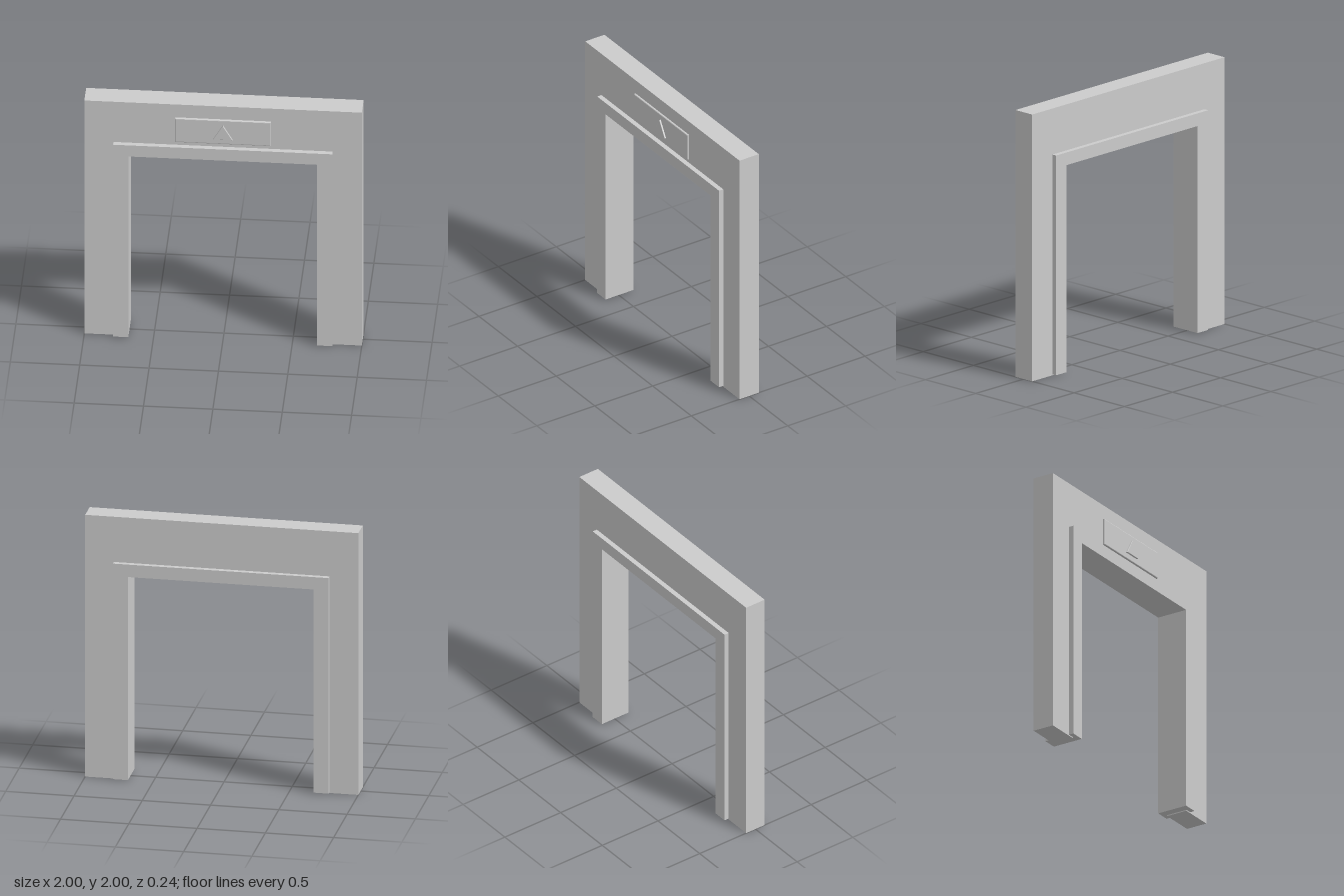
import * as THREE from 'three';

const material = new THREE.MeshStandardMaterial({ color: 0xcccccc });

const polygon = (points) => new THREE.Shape(points.map(([x, y]) => new THREE.Vector2(x, y)));

// Upside-down U outline: outer half width and top, inner half width and top
const arch = (outerX, outerY, innerX, innerY, bottom) => polygon([
  [-outerX, bottom], [-innerX, bottom], [-innerX, innerY], [innerX, innerY],
  [innerX, bottom], [outerX, bottom], [outerX, outerY], [-outerX, outerY],
]);

// Extrude a shape from z0 to z1, with an optional softened edge kept inside the outline
function slab(name, shape, z0, z1, bevel = 0) {
  const geometry = new THREE.ExtrudeGeometry(shape, {
    depth: z1 - z0 - 2 * bevel,
    bevelEnabled: bevel > 0,
    bevelThickness: bevel,
    bevelSize: bevel,
    bevelOffset: -bevel,
    bevelSegments: 3,
  });
  geometry.translate(0, 0, z0 + bevel);
  const mesh = new THREE.Mesh(geometry, material);
  mesh.name = name;
  return mesh;
}

export function createModel() {
  const model = new THREE.Group();
  model.name = 'doorway';

  // Wall surround, and the thicker door frame that wraps its inner edge
  model.add(slab('wall', arch(1, 2, 0.74, 1.61, 0), -0.083, 0.083));
  model.add(slab('doorFrame', arch(0.79, 1.655, 0.68, 1.56, 0.008), -0.12, 0.12));

  // Sign plate above the opening with a raised triangle
  const sign = new THREE.Group();
  sign.name = 'sign';
  const plate = polygon([[-0.347, 1.685], [0.347, 1.685], [0.347, 1.89], [-0.347, 1.89]]);
  const triangle = polygon([[-0.07, 1.73], [0.07, 1.73], [0, 1.85]]);
  sign.add(slab('signPlate', plate, 0.07, 0.098, 0.008));
  sign.add(slab('signTriangle', triangle, 0.085, 0.11, 0.004));
  model.add(sign);

  return model;
}
